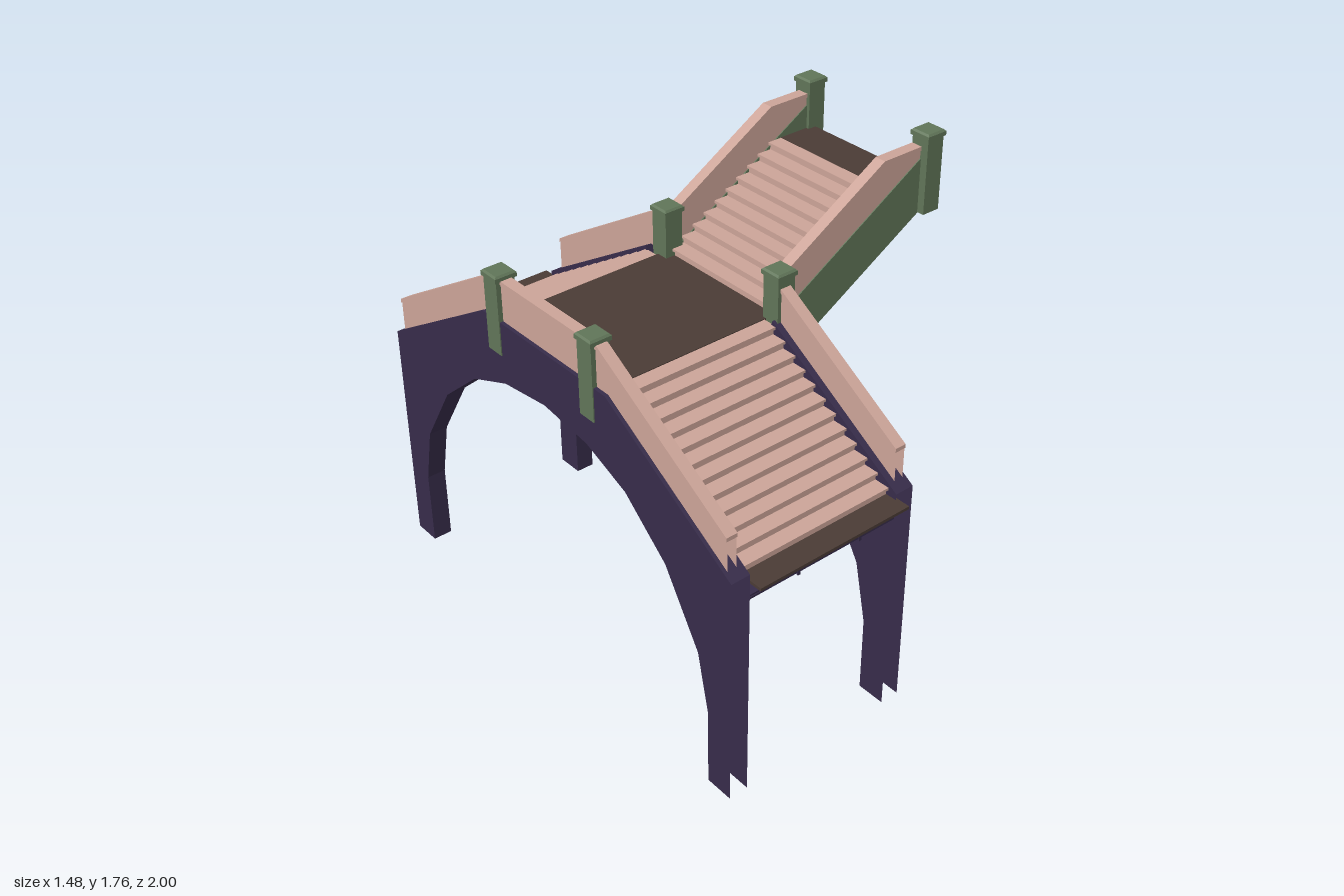
import * as THREE from 'three';
import { mergeGeometries } from 'three/addons/utils/BufferGeometryUtils.js';

const material = (color) => new THREE.MeshStandardMaterial({ color, side: THREE.DoubleSide, flatShading: true });
const FRAME = material(0x372c4a), WOOD = material(0xcca498), GREEN = material(0x607558), DECK = material(0x4a3b35);

// Profiles are lists of [u, y]; axis 'z' lays u along z, axis 'x' lays u along x.
const at = (axis, [u, y], w) => (axis === 'z' ? [w, y, u] : [u, y, w]);

// Band swept sideways from lo to hi along a profile
function strip(axis, pts, lo, hi) {
  const pos = [];
  for (let i = 0; i + 1 < pts.length; i++) {
    const a = at(axis, pts[i], lo), b = at(axis, pts[i + 1], lo);
    const c = at(axis, pts[i + 1], hi), d = at(axis, pts[i], hi);
    // wind so that profiles running toward +u face upward
    if (axis === 'z') pos.push(...a, ...b, ...c, ...a, ...c, ...d);
    else pos.push(...a, ...c, ...b, ...a, ...d, ...c);
  }
  const g = new THREE.BufferGeometry();
  g.setAttribute('position', new THREE.Float32BufferAttribute(pos, 3));
  g.computeVertexNormals();
  return g;
}

// Flat side plate with the given outline
function plate(axis, pts, w) {
  const shape = new THREE.Shape(pts.map(([u, y]) => new THREE.Vector2(u, y)));
  const g = new THREE.ShapeGeometry(shape).toNonIndexed();
  g.deleteAttribute('uv');
  if (axis === 'z') g.rotateY(-Math.PI / 2).translate(w, 0, 0);
  else g.translate(0, 0, w);
  return g;
}

// Two plates joined along their top and bottom lines; ends are open unless closed
function shell(axis, top, bottom, lo, hi, closed = false) {
  const outline = [...top, ...[...bottom].reverse()];
  const bands = closed
    ? [strip(axis, [...outline, outline[0]], lo, hi)]
    : [strip(axis, top, lo, hi), strip(axis, [...bottom].reverse(), lo, hi)];
  return mergeGeometries([plate(axis, outline, lo), plate(axis, outline, hi), ...bands]);
}

const mirrorZ = (half) => [...half.map(([z, y]) => [-z, y]), ...[...half].reverse()];

export function createModel() {
  const model = new THREE.Group();
  const add = (name, geometry, mat, parent = model) => {
    const m = new THREE.Mesh(geometry, mat);
    m.name = name;
    parent.add(m);
    return m;
  };
  const box = (name, mat, x0, x1, y0, y1, z0, z1, parent) =>
    add(name, new THREE.BoxGeometry(x1 - x0, y1 - y0, z1 - z0), mat, parent)
      .position.set((x0 + x1) / 2, (y0 + y1) / 2, (z0 + z1) / 2);

  // Arched side frames, hollow and open at the leg ends
  const soffitHalf = [[0.84, 0], [0.84, 0.3], [0.79, 0.53], [0.63, 0.79], [0.43, 0.96], [0.23, 1.04]];
  const soffit = [...soffitHalf.map(([z, y]) => [-z, y]), [0, 1.07], ...[...soffitHalf].reverse()];
  const leftTop = mirrorZ([[0.95, 0], [0.95, 0.91], [0.34, 1.28]]);
  const rightTop = mirrorZ([[0.95, 0], [0.95, 0.91], [0.34, 1.28], [0.31, 1.19]]);
  for (const [name, top, lo, hi] of [['outerArch', leftTop, -0.73, -0.655], ['innerArch', rightTop, -0.03, 0.045]]) {
    const outline = [...top, ...[...soffit].reverse()];
    add(name, mergeGeometries([
      plate('z', outline, lo), plate('z', outline, hi),
      strip('z', top.slice(1, -1), lo, hi), strip('z', [...soffit].reverse(), lo, hi),
    ]), FRAME);
  }

  // Handrails with a thin overhanging cap
  function rail(name, axis, top, bottom, lo, hi) {
    const g = new THREE.Group();
    g.name = name;
    model.add(g);
    add('railPanel', mergeGeometries([
      plate(axis, [...top, ...[...bottom].reverse()], lo),
      plate(axis, [...top, ...[...bottom].reverse()], hi),
      strip(axis, top, lo, hi),
    ]), WOOD, g);
    const capUnder = top.map(([u, y]) => [u, y - 0.014]);
    add('railCap', shell(axis, top.map(([u, y]) => [u, y + 0.001]), capUnder, lo - 0.004, hi + 0.004, true), WOOD, g);
  }
  rail('outerRail', 'z',
    mirrorZ([[0.915, 1.06], [0.295, 1.435]]), mirrorZ([[0.915, 0.93], [0.34, 1.278]]), -0.716, -0.68);
  for (const [s, end] of [[1, 0.32], [-1, 0.275]]) {
    rail(s > 0 ? 'frontInnerRail' : 'backInnerRail', 'z',
      [[s * 0.915, 1.06], [s * end, 1.06 + 0.605 * (0.915 - end)]],
      [[s * 0.915, 0.93], [s * 0.34, 1.278], [s * end, 1.278]], -0.005, 0.031);
  }

  // Side flight: stringers with rails above
  for (const [side, lo, hi] of [['front', 0.28, 0.325], ['back', -0.295, -0.25]]) {
    add(side + 'Stringer', shell('x', [[0.04, 1.285], [0.67, 1.665]], [[0.04, 1.085], [0.67, 1.455]], lo, hi, true), GREEN);
    rail(side + 'FlightRail', 'x',
      [[0.04, 1.435], [0.48, 1.7], [0.67, 1.7]], [[0.04, 1.285], [0.67, 1.665]], lo + 0.004, hi - 0.004);
  }

  // Capped posts: x, z, bottom, top
  const posts = [
    [-0.697, 0.245, 1.15, 1.455], [-0.697, -0.273, 1.15, 1.455],
    [0.018, 0.317, 1.15, 1.455], [0.018, -0.275, 1.15, 1.455],
    [0.693, 0.317, 1.45, 1.755], [0.693, -0.275, 1.45, 1.755],
  ];
  for (const [x, z, y0, y1] of posts) {
    const post = new THREE.Group();
    post.name = 'post';
    model.add(post);
    box('postShaft', GREEN, x - 0.037, x + 0.037, y0, y1 - 0.02, z - 0.037, z + 0.037, post);
    box('postCap', GREEN, x - 0.043, x + 0.043, y1 - 0.022, y1 - 0.006, z - 0.043, z + 0.043, post);
    const crown = new THREE.CylinderGeometry(0.051, 0.06, 0.007, 4).rotateY(Math.PI / 4);
    add('postCrown', crown, GREEN, post).position.set(x, y1 - 0.003, z);
  }

  // Stair profile with a small nosing on every tread
  function steps(u0, y0, u1, y1, n) {
    const pts = [[u0, y0]], run = (u1 - u0) / n, rise = (y1 - y0) / n;
    for (let i = 0; i < n; i++) {
      const u = u0 + run * i, y = y0 + rise * (i + 1), nose = u - run * 0.18;
      pts.push([u, y - 0.01], [nose, y - 0.01], [nose, y], [u + run, y]);
    }
    return pts;
  }
  add('frontSteps', strip('z', steps(0.905, 0.885, 0.295, 1.263, 12), -0.655, -0.025), WOOD);
  add('backSteps', strip('z', steps(-0.9, 0.885, -0.285, 1.263, 12), -0.655, -0.025), WOOD);
  add('flightSteps', strip('x', steps(0.02, 1.265, 0.53, 1.565, 10), -0.25, 0.28), WOOD);

  // Landings
  box('middleLanding', DECK, -0.657, 0.02, 1.25, 1.266, -0.285, 0.295);
  box('frontLanding', DECK, -0.655, -0.02, 0.876, 0.887, 0.905, 1);
  box('backLanding', DECK, -0.655, -0.02, 0.876, 0.887, -1, -0.9);
  box('topLanding', DECK, 0.53, 0.69, 1.556, 1.566, -0.25, 0.28);

  // Undersides with joists and cross ribs
  const under = [[-0.95, 0.82], [-0.3, 1.2], [0.3, 1.2], [0.95, 0.82]];
  const flightUnder = [[0.06, 1.115], [0.68, 1.475]];
  add('bridgeUnderside', strip('z', under, -0.655, -0.03), FRAME);
  add('flightUnderside', strip('x', flightUnder, -0.25, 0.28), FRAME);

  const drop = (pts, d) => pts.map(([u, y]) => [u, y - d]);
  for (const x of [-0.45, -0.185])
    add('bridgeJoist', shell('z', under, drop(under, 0.02), x - 0.006, x + 0.006, true), FRAME);
  for (const z of [-0.1, 0.1])
    add('flightJoist', shell('x', flightUnder, drop(flightUnder, 0.02), z - 0.006, z + 0.006, true), FRAME);

  for (let i = 0; i < 6; i++) {
    const z = 0.94 - i * 0.125, y = 0.82 + (0.95 - z) * 0.585;
    for (const s of [1, -1])
      box('bridgeRib', FRAME, -0.655, -0.03, y - 0.016, y + 0.002, s * z - 0.008, s * z + 0.008);
  }
  for (const z of [-0.13, 0, 0.13]) box('bridgeRib', FRAME, -0.655, -0.03, 1.184, 1.202, z - 0.008, z + 0.008);
  for (const x of [0.2, 0.36, 0.52, 0.67]) {
    const y = 1.115 + (x - 0.06) * 0.58;
    box('flightRib', FRAME, x - 0.008, x + 0.008, y - 0.016, y + 0.002, -0.25, 0.28);
  }
  return model;
}
